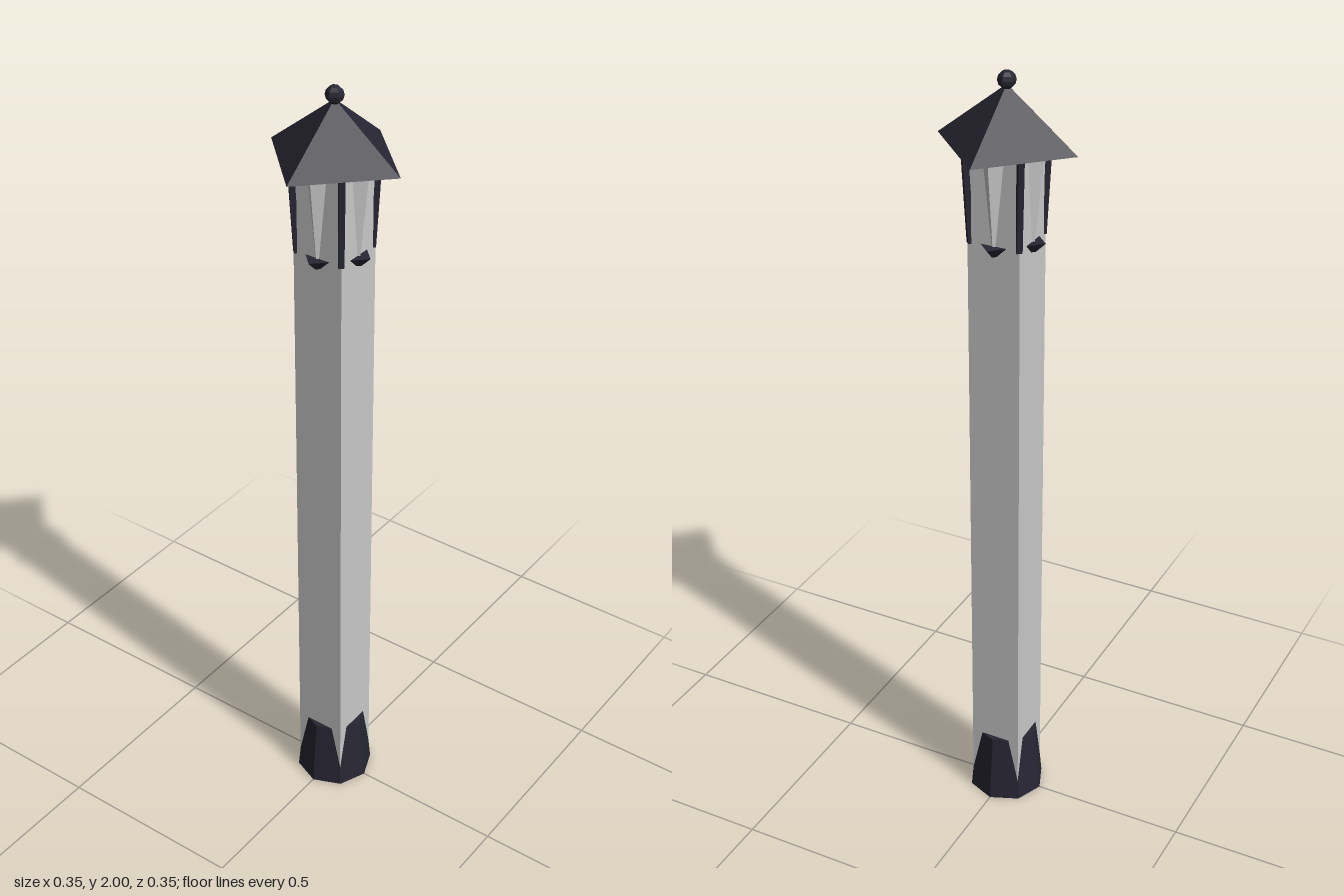
import * as THREE from 'three';

export function createModel() {
  const model = new THREE.Group();
  const dark = new THREE.MeshStandardMaterial({ name: 'dark metal', color: 0x272633, flatShading: true });
  const pale = new THREE.MeshStandardMaterial({ name: 'pale grey', color: 0xc8c8c8, flatShading: true });

  const add = (name, geometry, material, x, y, z) => {
    const mesh = new THREE.Mesh(geometry, material);
    mesh.name = name;
    mesh.position.set(x, y, z);
    model.add(mesh);
    return mesh;
  };

  // Tapered prism standing between two heights
  const prism = (name, material, rTop, rBottom, y0, y1, sides) =>
    add(name, new THREE.CylinderGeometry(rTop, rBottom, y1 - y0, sides), material, 0, (y0 + y1) / 2, 0);

  // Square column, whose corners break through the octagonal foot
  add('column', new THREE.BoxGeometry(0.134, 1.818, 0.134), pale, 0, 0.911, 0);
  prism('foot', dark, 0.083, 0.1, 0, 0.185, 8);

  // Lantern: diamond collar and flared body showing at the middle of each face
  prism('collar', dark, 0.1, 0.075, 1.58, 1.605, 4);
  prism('lanternBody', pale, 0.095, 0.072, 1.605, 1.825, 4);

  // Slightly splayed corner posts
  const up = new THREE.Vector3(0, 1, 0);
  for (const sx of [-1, 1]) {
    for (const sz of [-1, 1]) {
      const bottom = new THREE.Vector3(sx * 0.062, 1.6, sz * 0.062);
      const top = new THREE.Vector3(sx * 0.071, 1.832, sz * 0.071);
      const mid = bottom.clone().add(top).multiplyScalar(0.5);
      const dir = top.clone().sub(bottom);
      const post = add('cornerPost', new THREE.CylinderGeometry(0.01, 0.01, dir.length(), 4), dark, mid.x, mid.y, mid.z);
      post.quaternion.setFromUnitVectors(up, dir.normalize());
    }
  }

  // Pyramid roof and finial
  add('roof', new THREE.ConeGeometry(0.177, 0.14, 4), dark, 0, 1.898, 0);
  add('finial', new THREE.SphereGeometry(0.022, 6, 6), dark, 0, 1.978, 0);

  return model;
}
